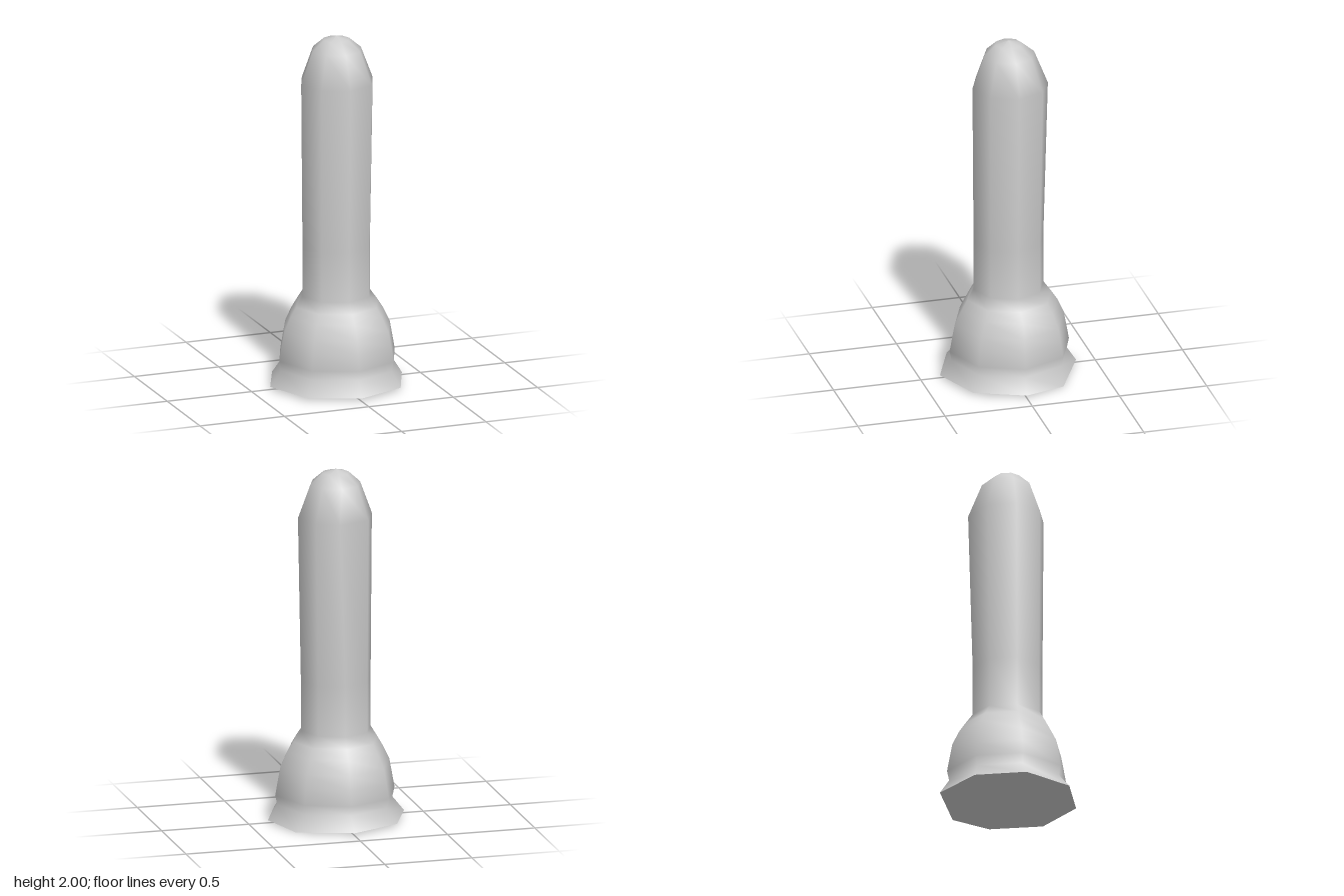
import * as THREE from 'three';

const SIDES = 8;

// Profile rings from the foot up: [radius, height, centre x, centre z]
const RINGS = [
  [0.39, 0.015, 0, 0],
  [0.33, 0.10, 0.008, -0.005],
  [0.342, 0.155, 0.008, -0.005],
  [0.327, 0.24, 0.008, -0.005],
  [0.312, 0.32, 0.008, -0.005],
  [0.273, 0.40, 0.008, -0.008],
  [0.24, 0.455, 0.006, -0.005],
  [0.2, 0.515, 0.002, -0.002],
  [0.2, 0.8, 0.002, -0.002],
  [0.212, 1.735, 0.008, -0.006],
  [0.143, 1.92, 0.006, -0.005],
  [0.075, 1.98, 0.003, -0.002],
  [0, 2.0, 0, 0],
];

export function createModel() {
  const group = new THREE.Group();
  const material = new THREE.MeshStandardMaterial({ color: 0xcccccc, roughness: 0.8, side: THREE.DoubleSide });

  // Eight-sided turned post: flared foot, bulging collar, long shaft, domed tip
  const body = new THREE.LatheGeometry(RINGS.map(([r, y]) => new THREE.Vector2(r, y)), SIDES);
  const pos = body.attributes.position;
  for (let i = 0; i < pos.count; i++) {
    const ring = i % RINGS.length;
    const side = Math.floor(i / RINGS.length) % SIDES;
    const [, y, cx, cz] = RINGS[ring];
    let x = pos.getX(i) + cx, z = pos.getZ(i) + cz, h = y;
    if (ring === 0 && side === 3) { x += 0.02; z += 0.04; h = 0; } // bent foot corner
    if (ring === 0 && side === 5) z += 0.01;
    if (ring === 9 && side === 4) x += 0.03; // uneven shoulder corner
    pos.setXYZ(i, x, h, z);
  }
  const post = new THREE.Mesh(body, material);
  post.name = 'post';

  // Flat underside following the foot's rim
  const corners = [];
  for (let s = 0; s < SIDES; s++) {
    const i = s * RINGS.length;
    corners.push(pos.getX(i), pos.getY(i), pos.getZ(i));
  }
  const faces = [];
  for (let s = 1; s < SIDES - 1; s++) faces.push(0, s + 1, s);
  const cap = new THREE.BufferGeometry();
  cap.setAttribute('position', new THREE.Float32BufferAttribute(corners, 3));
  cap.setIndex(faces);
  cap.computeVertexNormals();
  const underside = new THREE.Mesh(cap, material);
  underside.name = 'underside';

  group.add(post, underside);
  return group;
}
